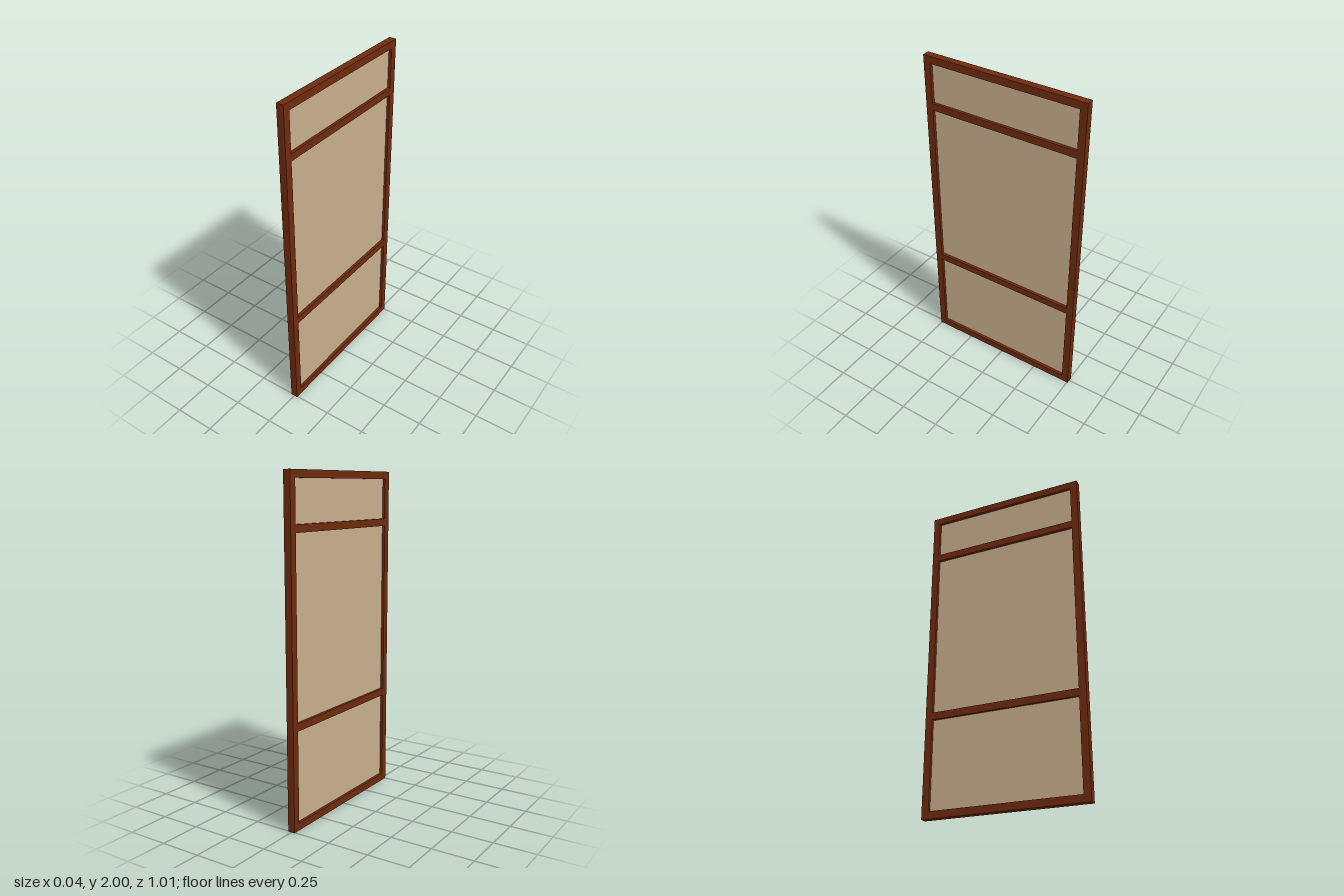
import * as THREE from 'three';

export function createModel() {
  const group = new THREE.Group();
  const wood = new THREE.MeshStandardMaterial({ color: 0x6e2a0e });
  wood.name = 'redBrownWood';
  const tan = new THREE.MeshStandardMaterial({ color: 0xc8ae8c });
  tan.name = 'tanPanel';

  const depth = 0.044, bar = 0.044, halfWidth = 0.505, height = 2;
  const innerWidth = 2 * (halfWidth - bar);

  const box = (name, material, w, h, d, y, z = 0) => {
    const mesh = new THREE.Mesh(new THREE.BoxGeometry(w, h, d), material);
    mesh.name = name;
    mesh.position.set(0, y, z);
    group.add(mesh);
  };

  // Full-height stiles at both ends
  for (const [name, side] of [['frontStile', 1], ['backStile', -1]]) {
    box(name, wood, depth, height, bar, height / 2, side * (halfWidth - bar / 2));
  }

  // Horizontal rails, listed by centre height
  const rails = [['bottomRail', bar / 2], ['lowerRail', 0.607], ['upperRail', 1.694], ['topRail', height - bar / 2]];
  for (const [name, y] of rails) box(name, wood, depth, bar, innerWidth, y);

  // Thin recessed panels between neighbouring rails
  ['lowerPanel', 'middlePanel', 'upperPanel'].forEach((name, i) => {
    const bottom = rails[i][1] + bar / 2, top = rails[i + 1][1] - bar / 2;
    box(name, tan, 0.009, top - bottom, innerWidth, (bottom + top) / 2);
  });

  return group;
}
